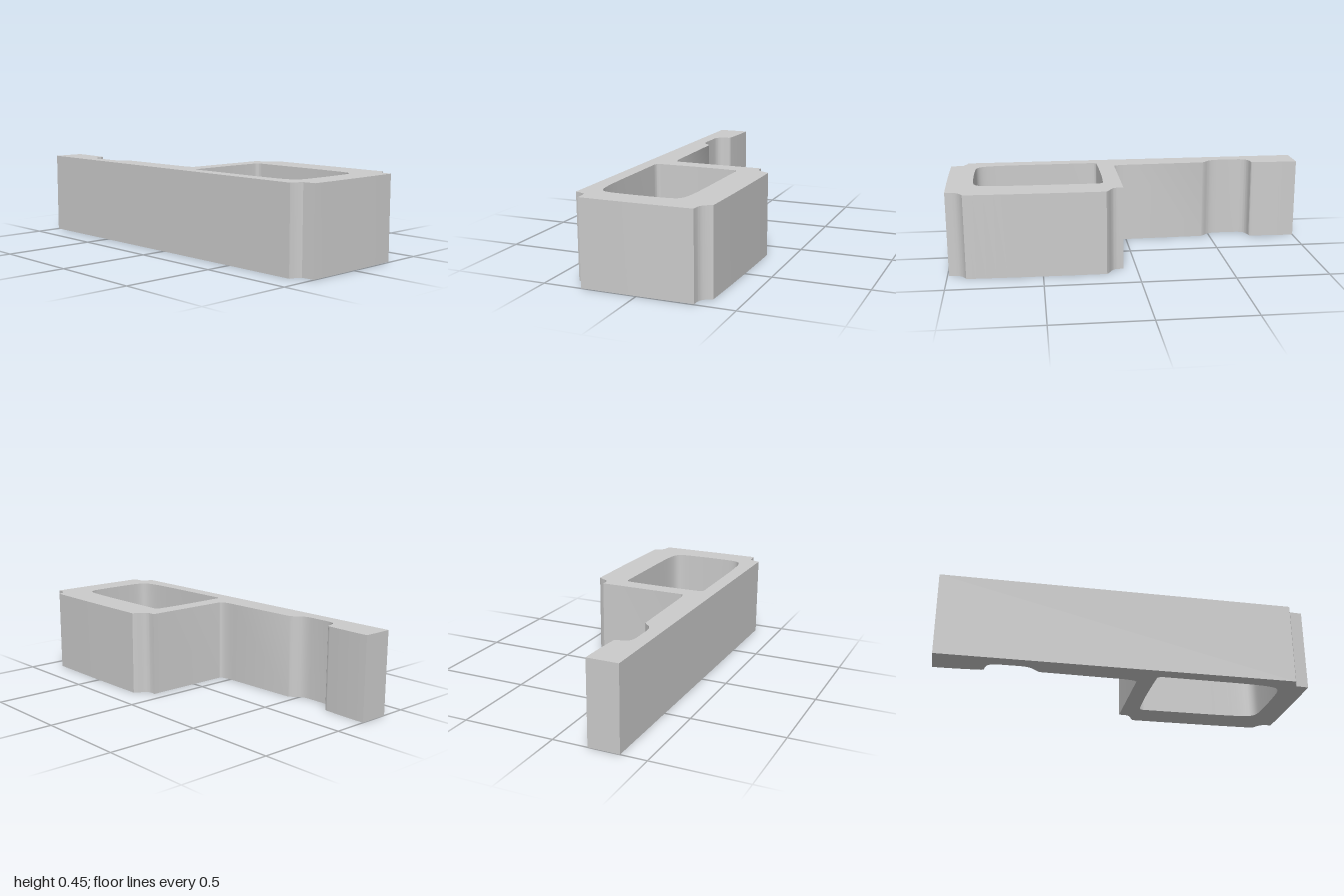
import * as THREE from 'three';
import { toCreasedNormals } from 'three/addons/utils/BufferGeometryUtils.js';

const HEIGHT = 0.45;

// Plan outline, drawn as (x, z)
function bracketOutline() {
  const s = new THREE.Shape();
  // back end of the arm and its hooked tip
  s.moveTo(-0.36, -1);
  s.lineTo(-0.19, -1);
  s.quadraticCurveTo(-0.19, -0.88, -0.2, -0.76);
  s.quadraticCurveTo(-0.2, -0.735, -0.215, -0.735);
  // scooped notch
  s.bezierCurveTo(-0.26, -0.73, -0.28, -0.72, -0.283, -0.67);
  s.lineTo(-0.284, -0.56);
  s.bezierCurveTo(-0.282, -0.48, -0.25, -0.49, -0.228, -0.45);
  // inner face of the arm, filleted into the box
  s.lineTo(-0.22, -0.02);
  s.quadraticCurveTo(-0.218, 0.07, -0.195, 0.07);
  s.lineTo(0.288, 0.07);
  // back corner notch
  s.lineTo(0.288, 0.105);
  s.bezierCurveTo(0.295, 0.14, 0.33, 0.14, 0.36, 0.165);
  // side wall
  s.quadraticCurveTo(0.36, 0.6, 0.35, 0.9);
  // front corner notches and front wall
  s.bezierCurveTo(0.325, 0.91, 0.3, 0.925, 0.294, 0.955);
  s.lineTo(0.292, 0.992);
  s.quadraticCurveTo(0, 1, -0.295, 0.997);
  s.lineTo(-0.3, 0.93);
  s.quadraticCurveTo(-0.33, 0.91, -0.36, 0.903);
  s.closePath();
  return s;
}

// Tapered opening with rounded corners
function boxOpening() {
  const h = new THREE.Path();
  h.moveTo(-0.26, 0.167);
  h.quadraticCurveTo(0, 0.157, 0.165, 0.167);
  h.quadraticCurveTo(0.19, 0.167, 0.189, 0.2);
  h.lineTo(0.186, 0.6);
  h.bezierCurveTo(0.18, 0.85, 0.175, 0.85, 0.08, 0.856);
  h.quadraticCurveTo(-0.05, 0.862, -0.18, 0.856);
  h.bezierCurveTo(-0.265, 0.85, -0.275, 0.84, -0.281, 0.6);
  h.lineTo(-0.285, 0.2);
  h.quadraticCurveTo(-0.285, 0.167, -0.26, 0.167);
  return h;
}

export function createModel() {
  const group = new THREE.Group();
  const shape = bracketOutline();
  shape.holes.push(boxOpening());
  const extruded = new THREE.ExtrudeGeometry(shape, {
    depth: HEIGHT, bevelEnabled: false, curveSegments: 12,
  });
  // lay the plan flat on the ground
  extruded.rotateX(Math.PI / 2).translate(0, HEIGHT, 0);
  const body = new THREE.Mesh(
    toCreasedNormals(extruded, Math.PI / 5),
    new THREE.MeshStandardMaterial({ color: 0xcccccc }),
  );
  body.name = 'bracketBody';
  group.add(body);
  return group;
}
